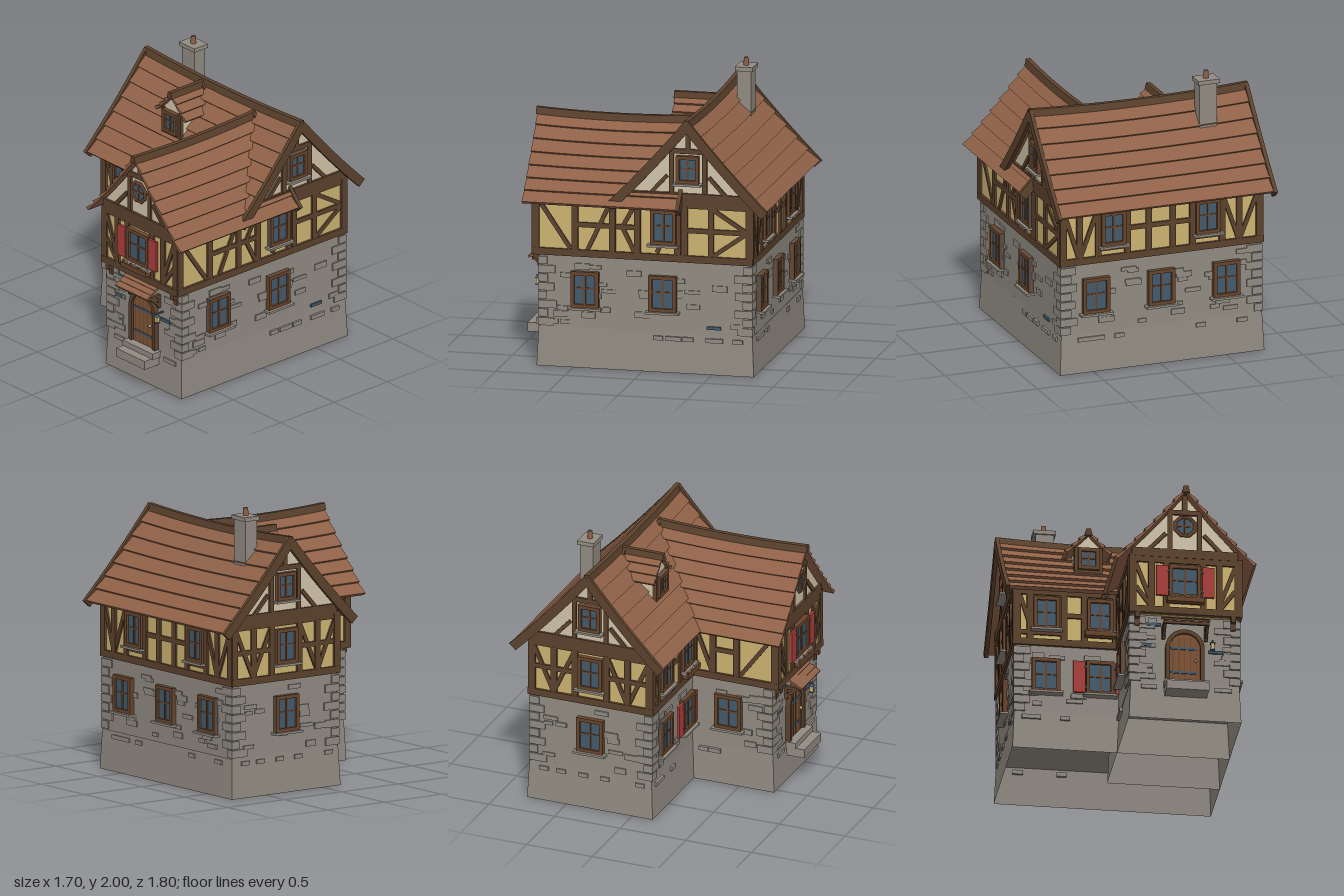
import * as THREE from 'three';

const mat = (name, color, double) => {
  const m = new THREE.MeshStandardMaterial({ color });
  m.name = name;
  if (double) m.side = THREE.DoubleSide;
  return m;
};
const M = {
  stone: mat('stone', 0x918b82, true), plaster: mat('yellow plaster', 0xcdb472), cream: mat('cream plaster', 0xd2c5aa),
  timber: mat('dark timber', 0x5c422d), tile: mat('roof tile', 0x8f6147), wood: mat('door wood', 0x7f5436),
  frame: mat('window frame', 0x69452b), glass: mat('glass and iron', 0x435a6c), red: mat('red paint', 0xaa3e3c),
};

let seed = 7;
const rnd = (a, b) => { seed = (seed * 16807) % 2147483647; return a + (b - a) * seed / 2147483647; };

function add(parent, name, geo, m, x = 0, y = 0, z = 0) {
  const mesh = new THREE.Mesh(geo, m);
  mesh.name = name;
  mesh.position.set(x, y, z);
  parent.add(mesh);
  return mesh;
}
const box = (p, name, m, w, h, d, x, y, z) => add(p, name, new THREE.BoxGeometry(w, h, d), m, x, y, z);
// box given by its limits
const span = (p, name, m, x0, x1, y0, y1, z0, z1) =>
  box(p, name, m, x1 - x0, y1 - y0, z1 - z0, (x0 + x1) / 2, (y0 + y1) / 2, (z0 + z1) / 2);

export function createModel() {
  const house = new THREE.Group();
  house.name = 'timberHouse';

  // Wall planes: local x runs along the wall, y up, z outwards
  const face = (name, turn, x, z) => {
    const g = new THREE.Group();
    g.name = name; g.rotation.y = turn; g.position.set(x, 0, z);
    house.add(g);
    return g;
  };
  const H = Math.PI / 2;
  const front = face('frontWall', 0, 0, 0.14), wingLow = face('wingStoneFront', 0, 0, 0.745);
  const wingUp = face('wingTimberFront', 0, 0, 0.785), right = face('leftHandWall', H, 0.735, 0);
  const back = face('backWall', Math.PI, 0, -0.78), left = face('rightHandWall', -H, -0.765, 0);
  const wingSide = face('wingSideWall', -H, -0.035, 0);

  // Solid walls
  span(house, 'mainStoneWall', M.stone, -0.765, 0.735, 0.28, 0.8, -0.78, 0.14);
  span(house, 'wingStoneWall', M.stone, -0.035, 0.735, 0.28, 0.8, 0, 0.745);
  span(house, 'mainPlasterWall', M.plaster, -0.765, 0.735, 0.8, 1.24, -0.78, 0.14);
  span(house, 'wingPlasterWall', M.plaster, -0.035, 0.735, 0.8, 1.24, 0, 0.785);

  // Open-bottomed battered plinths
  for (const [x0, x1, z0, z1] of [[-0.785, 0.75, -0.8, 0.155], [-0.045, 0.75, -0.35, 0.765]]) {
    const w = x1 - x0, d = z1 - z0, r = Math.SQRT1_2;
    let g = new THREE.CylinderGeometry(r, r, 0.285, 4, 1, true).rotateY(Math.PI / 4).toNonIndexed();
    const p = g.attributes.position;
    for (let i = 0; i < p.count; i++) {
      const k = p.getY(i) > 0 ? 0.026 : 0;
      p.setX(i, p.getX(i) * (w - k)); p.setZ(i, p.getZ(i) * (d - k));
    }
    g.computeVertexNormals();
    add(house, 'plinth', g, M.stone, (x0 + x1) / 2, 0.1425, (z0 + z1) / 2);
  }

  // Corner quoins, alternating long and short
  for (const [cx, cz, dx, dz] of [[-0.765, -0.78, 1, 1], [0.735, -0.78, -1, 1], [-0.765, 0.14, 1, -1], [0.735, 0.745, -1, -1], [-0.035, 0.745, 1, -1]])
    for (let i = 0; i < 8; i++) {
      const a = (i % 2 ? 0.12 : 0.07) + rnd(-0.01, 0.015), b = (i % 2 ? 0.07 : 0.12) + rnd(-0.01, 0.015);
      box(house, 'quoin', M.stone, a, 0.055, b, cx + dx * (a / 2 - 0.011), 0.318 + i * 0.063, cz + dz * (b / 2 - 0.011));
    }
  // Stray raised stones
  const scatter = (f, x0, x1, n) => {
    for (let i = 0; i < n; i++) {
      const w = rnd(0.06, 0.12);
      box(f, 'raisedStone', M.stone, w, rnd(0.025, 0.045), 0.02, rnd(x0 + w, x1 - w), rnd(0.32, 0.76), 0);
    }
    for (let i = 0; i < n / 3; i++) box(f, 'plinthStone', M.stone, 0.07, 0.03, 0.03, rnd(x0 + 0.08, x1 - 0.08), 0.245, 0.005);
  };
  scatter(front, -0.765, -0.05, 9); scatter(wingLow, -0.035, 0.2, 7); scatter(wingLow, 0.5, 0.735, 5);
  scatter(right, -0.745, 0.78, 24); scatter(back, -0.735, 0.765, 24);
  scatter(left, -0.78, 0.14, 14); scatter(wingSide, 0.14, 0.745, 8);
  for (const [f, x, y, w] of [[wingLow, 0.13, 0.73, 0.1], [wingLow, 0.08, 0.57, 0.07], [wingLow, 0.57, 0.54, 0.1], [right, 0.51, 0.335, 0.1]])
    box(f, 'slateStone', M.glass, w, 0.022, 0.026, x, y, 0);

  // Timber beam between two points of a wall
  const beam = (f, x0, y0, x1, y1, w = 0.04, m = M.timber, d = 0.03) => {
    const b = box(f, 'beam', m, Math.hypot(x1 - x0, y1 - y0), w, d, (x0 + x1) / 2, (y0 + y1) / 2, 0);
    b.rotation.z = Math.atan2(y1 - y0, x1 - x0);
  };
  const framing = (f, x0, x1, posts, braces, rails) => {
    beam(f, x0 - 0.014, 0.825, x1 + 0.014, 0.825, 0.05, M.timber, 0.036);
    beam(f, x0, 1.215, x1, 1.215, 0.05);
    posts.forEach(x => beam(f, x, 0.84, x, 1.2, 0.045, M.timber, 0.032));
    beam(f, x0 + 0.012, 0.8, x0 + 0.012, 1.24, 0.052, M.timber, 0.034);
    beam(f, x1 - 0.012, 0.8, x1 - 0.012, 1.24, 0.052, M.timber, 0.034);
    braces.forEach(b => beam(f, ...b, 0.03, M.timber, 0.026));
    rails.forEach(([a, b, y]) => beam(f, a, y, b, y, 0.035, M.timber, 0.028));
  };
  framing(front, -0.765, -0.035, [-0.66, -0.42, -0.275, -0.055], [[-0.73, 1.18, -0.66, 0.96]],
    [[-0.42, -0.275, 1.04], [-0.74, -0.42, 0.9], [-0.275, -0.05, 0.9]]);
  framing(wingUp, -0.035, 0.735, [0.11, 0.215, 0.475, 0.59],
    [[0, 1.18, 0.11, 0.88], [0.7, 1.18, 0.59, 0.88], [0, 1, 0.1, 0.86], [0.7, 1, 0.6, 0.86]], [[0.22, 0.47, 0.9]]);
  framing(right, -0.785, 0.78, [-0.49, -0.22, -0.04, 0.25, 0.3],
    [[-0.75, 1.19, -0.52, 0.85], [-0.4, 0.85, -0.24, 1.19], [-0.06, 1.19, -0.15, 1.03], [-0.06, 0.85, -0.15, 1.03],
      [0.1, 0.86, 0.26, 1.18], [0.5, 1.19, 0.74, 1.04], [0.5, 0.85, 0.74, 1.02]], [[-0.49, -0.04, 1.03], [0.3, 0.75, 1.03]]);
  beam(right, 0.49, 0.84, 0.49, 1.2);
  framing(back, -0.735, 0.765, [-0.6, -0.46, -0.24, -0.08, 0.1, 0.25, 0.47, 0.6],
    [[-0.71, 1.18, -0.61, 0.86], [0.74, 1.18, 0.61, 0.86], [-0.59, 0.86, -0.47, 1.18], [0.59, 0.86, 0.48, 1.18]],
    [[-0.24, 0.25, 1.03], [-0.46, -0.24, 0.9], [0.25, 0.47, 0.9]]);
  framing(left, -0.78, 0.14, [-0.6, -0.44, -0.2, -0.04],
    [[-0.75, 1.18, -0.61, 0.86], [0.11, 1.18, -0.03, 0.86], [-0.6, 0.86, -0.45, 1.18], [-0.05, 0.86, -0.19, 1.18]],
    [[-0.75, -0.44, 1.03], [-0.2, 0.11, 1.03]]);
  framing(wingSide, 0.14, 0.785, [0.3, 0.48], [[0.75, 1.19, 0.5, 0.85], [0.16, 1.19, 0.29, 0.86]], [[0.3, 0.48, 1.03]]);

  // Windows with frame, glazing bars, sill and optional shutters or flower box
  const windowAt = (f, x, y, w, h, { sill = true, shutters = 0, flowers = false } = {}) => {
    const g = new THREE.Group();
    g.name = 'window'; g.position.set(x, y, 0.016);
    f.add(g);
    box(g, 'glass', M.glass, w, h, 0.008, 0, 0, 0);
    for (const s of [-1, 1]) {
      box(g, 'jamb', M.frame, 0.026, h, 0.04, s * (w / 2 - 0.013), 0, 0);
      box(g, 'rail', M.frame, w, 0.026, 0.04, 0, s * (h / 2 - 0.013), 0);
      if (shutters) {
        box(g, 'shutter', M.red, shutters, h - 0.02, 0.018, s * (w / 2 + shutters / 2 + 0.008), 0, 0.012);
        for (const v of [-1, 1]) box(g, 'hinge', M.glass, 0.02, 0.012, 0.024, s * (w / 2 + 0.008), v * h * 0.3, 0.012);
      }
    }
    box(g, 'mullion', M.frame, 0.014, h, 0.022, 0, 0, 0);
    box(g, 'glazingBar', M.frame, w, 0.011, 0.02, 0, h * 0.04, 0);
    if (sill) box(g, 'sill', M.stone, w + 0.04, 0.016, 0.06, 0, -h / 2 - 0.006, 0.012);
    if (flowers) {
      box(g, 'flowerBox', M.frame, w + 0.04, 0.035, 0.045, 0, -h / 2 - 0.028, 0.032);
      for (let i = 0; i < 10; i++)
        add(g, 'flower', new THREE.IcosahedronGeometry(0.011, 0), [M.red, M.plaster, M.cream][i % 3],
          (i / 9 - 0.5) * w, -h / 2 - 0.006 + rnd(-0.004, 0.006), 0.035 + rnd(-0.01, 0.012));
    }
  };
  const low = (f, x, o) => windowAt(f, x, 0.565, 0.2, 0.26, o), high = (f, x, o) => windowAt(f, x, 1.045, 0.185, 0.25, o);
  low(front, -0.55); low(front, -0.165, { shutters: 0.085 });
  high(front, -0.545); high(front, -0.165, { flowers: true });
  windowAt(wingUp, 0.345, 1.045, 0.225, 0.25, { shutters: 0.085, flowers: true });
  low(right, -0.415); low(right, 0.145); high(right, 0.15);
  [-0.48, 0.01, 0.5].forEach(x => low(back, x));
  [-0.35, 0.36].forEach(x => high(back, x));
  low(left, -0.32); high(left, -0.32); low(wingSide, 0.42);

  // Sagging, flared roof: length on local x, ridge at the origin, one slope built and turned round
  const drop = (t, rise) => rise * (t + 0.1 * t * (1 - t));
  const makeRoof = (name, len, half, rise, sag, courses, ends, deep) => {
    const roof = new THREE.Group();
    roof.name = name;
    house.add(roof);
    const n = Math.hypot(half, rise);
    const slab = (s0, s1, t0, t1, w0, wTop, wLow, nt) => {
      const g = new THREE.BoxGeometry(1, 1, 1, 10, 1, nt), p = g.attributes.position;
      for (let i = 0; i < p.count; i++) {
        const s = s0 + (p.getX(i) + 0.5) * (s1 - s0), v = p.getZ(i) + 0.5, t = t0 + v * (t1 - t0);
        const w = p.getY(i) < 0 ? w0 : wTop + (wLow - wTop) * v;
        p.setXYZ(i, s * len / 2, -drop(t, rise) - sag * (1 - s * s) * (1 - t) + w * half / n, half * t + w * rise / n);
      }
      g.computeVertexNormals();
      return g;
    };
    const e = 0.028 / len;
    for (const turn of [0, Math.PI]) {
      const slope = new THREE.Group();
      slope.name = 'slope'; slope.rotation.y = turn;
      roof.add(slope);
      for (let i = 0; i < courses; i++)
        add(slope, 'tileCourse', slab(-1, 1, i / courses - (i ? 0.01 : 0), (i + 1) / courses, 0, 0.008, 0.028, 2), M.tile);
      for (const end of ends) {
        const s = turn ? -end : end;
        add(slope, 'vergeBoard', slab(s - e, s + e, -0.01, 1.015, -deep, 0.032, 0.032, 8), M.timber);
      }
    }
    const cap = new THREE.BoxGeometry(len + 0.02, 0.05, 0.055, 12, 1, 1), p = cap.attributes.position;
    for (let i = 0; i < p.count; i++) {
      const s = p.getX(i) / len * 2;
      if (p.getY(i) > 0) p.setZ(i, p.getZ(i) * 0.6);
      p.setY(i, p.getY(i) + 0.012 - sag * (1 - s * s));
    }
    cap.computeVertexNormals();
    add(roof, 'ridgeCap', cap, M.timber);
    return roof;
  };
  makeRoof('mainRoof', 1.62, 0.555, 0.61, 0.025, 7, [-1, 1], 0.035).position.set(-0.02, 1.795, -0.325);
  const wingRoof = makeRoof('wingRoof', 1.12, 0.48, 0.55, 0.018, 7, [-1], 0.035);
  wingRoof.position.set(0.345, 1.73, 0.29);
  wingRoof.rotation.y = H;
  wingRoof.children[0].parent.scale.x = -1; // puts the boarded end at the front

  // Gable panels following the roof underside
  const gable = (f, cx, ridge, half, rise, base, wide) => {
    const s = new THREE.Shape();
    const y = o => ridge - drop(o / half, rise) - 0.012;
    s.moveTo(cx - wide, base); s.lineTo(cx + wide, base);
    for (const o of [1, 0.5, 0, -0.5, -1]) s.lineTo(cx + wide * o, Math.max(base, y(Math.abs(wide * o))));
    add(f, 'gablePanel', new THREE.ExtrudeGeometry(s, { depth: 0.04, bevelEnabled: false }), M.cream, 0, 0, -0.04);
  };
  const gableFrame = (f, cx, wide, gap, top) => {
    beam(f, cx - wide, 1.265, cx + wide, 1.265, 0.065, M.timber, 0.036);
    beam(f, cx - gap - 0.02, top, cx + gap + 0.02, top, 0.035);
    beam(f, cx, top, cx, top + 0.13, 0.035);
    for (const s of [-1, 1]) {
      beam(f, cx + s * gap, 1.28, cx + s * gap, top, 0.034);
      beam(f, cx + s * (gap + 0.15), 1.29, cx + s * (gap + 0.03), 1.42, 0.028);
    }
  };
  for (const [f, c] of [[right, 0.325], [left, -0.325]]) {
    gable(f, c, 1.795, 0.555, 0.61, 1.24, 0.455);
    gableFrame(f, c, 0.45, 0.12, 1.6);
    windowAt(f, c, 1.47, 0.165, 0.2);
  }
  gable(wingUp, 0.345, 1.73, 0.48, 0.55, 1.24, 0.38);
  gableFrame(wingUp, 0.345, 0.375, 0.105, 1.585);

  // Eight-sided gable window
  const ring = new THREE.TorusGeometry(0.074, 0.015, 4, 8).rotateZ(Math.PI / 8);
  add(wingUp, 'roundWindowFrame', ring, M.frame, 0.345, 1.475, 0.02);
  add(wingUp, 'roundWindowGlass', new THREE.CylinderGeometry(0.074, 0.074, 0.008, 8).rotateX(H).rotateZ(Math.PI / 8), M.glass, 0.345, 1.475, 0.018);
  beam(wingUp, 0.345, 1.405, 0.345, 1.545, 0.012, M.frame, 0.054);
  beam(wingUp, 0.275, 1.475, 0.415, 1.475, 0.012, M.frame, 0.054);

  // Dormer
  const dormer = face('dormer', 0, -0.225, -0.025);
  span(dormer, 'dormerBody', M.cream, -0.095, 0.095, 1.43, 1.65, -0.25, 0);
  gable(dormer, 0, 1.757, 0.155, 0.155, 1.6, 0.1);
  for (const s of [-1, 1]) beam(dormer, s * 0.088, 1.45, s * 0.088, 1.65, 0.025);
  beam(dormer, -0.1, 1.465, 0.1, 1.465, 0.025);
  windowAt(dormer, 0, 1.56, 0.15, 0.165, { sill: false });
  const dormerRoof = makeRoof('dormerRoof', 0.29, 0.15, 0.15, 0, 3, [-1], 0.02);
  dormerRoof.position.set(-0.225, 1.757, -0.15);
  dormerRoof.rotation.y = H;
  dormerRoof.scale.x = -1;

  // Chimney
  span(house, 'chimneyStack', M.stone, -0.545, -0.415, 1.45, 1.92, -0.5, -0.4);
  span(house, 'chimneyCap', M.stone, -0.562, -0.402, 1.915, 1.945, -0.515, -0.388);
  add(house, 'chimneyPot', new THREE.CylinderGeometry(0.017, 0.021, 0.06, 8), M.tile, -0.482, 1.97, -0.45);
  add(house, 'potOpening', new THREE.CylinderGeometry(0.011, 0.011, 0.004, 8), M.glass, -0.482, 1.9985, -0.45);

  // Arched door
  const arch = (r, bottom) => {
    const s = new THREE.Shape();
    s.moveTo(-r, bottom); s.lineTo(r, bottom); s.lineTo(r, 0.555);
    s.absarc(0, 0.555, r, 0, Math.PI, false);
    s.closePath();
    return s;
  };
  const extrude = (s, depth) => new THREE.ExtrudeGeometry(s, { depth, bevelEnabled: false, curveSegments: 12 });
  const surround = arch(0.137, 0.28);
  surround.holes.push(arch(0.108, 0.281));
  add(wingLow, 'doorSurround', extrude(surround, 0.04), M.timber, 0.35, 0, -0.005);
  add(wingLow, 'doorLeaf', extrude(arch(0.112, 0.28), 0.02), M.wood, 0.35, 0, -0.003);
  for (let i = -2; i <= 2; i++) span(wingLow, 'plankJoint', M.timber, 0.348 + i * 0.042, 0.352 + i * 0.042, 0.285, 0.63, 0.01, 0.019);
  for (const y of [0.365, 0.55]) span(wingLow, 'doorHinge', M.glass, 0.25, 0.44, y - 0.009, y + 0.009, 0.01, 0.023);
  add(wingLow, 'doorKnob', new THREE.SphereGeometry(0.011, 8, 6), M.plaster, 0.425, 0.455, 0.026);

  // Doorsteps
  span(house, 'upperStep', M.stone, 0.2, 0.515, 0.24, 0.285, 0.73, 0.825);
  span(house, 'lowerStep', M.stone, 0.205, 0.505, 0.18, 0.245, 0.73, 0.89);

  // Door canopy with braces, and corbels under the overhang
  for (let i = 0; i < 3; i++) {
    const b = box(house, 'canopyBoard', M.tile, 0.33, 0.014, 0.055, 0.35, 0.775 - i * 0.022, 0.775 + i * 0.04);
    b.rotation.x = 0.4;
  }
  span(house, 'canopyRail', M.timber, 0.19, 0.51, 0.7, 0.72, 0.835, 0.855);
  for (const x of [0.2, 0.5]) {
    span(house, 'canopyArm', M.timber, x - 0.012, x + 0.012, 0.7, 0.722, 0.745, 0.85);
    const b = box(house, 'canopyBrace', M.timber, 0.022, 0.02, 0.12, x, 0.67, 0.79);
    b.rotation.x = -0.75;
    span(house, 'canopyPost', M.timber, x - 0.012, x + 0.012, 0.62, 0.72, 0.74, 0.765);
  }
  for (const x of [0.01, 0.69]) {
    span(house, 'corbel', M.timber, x - 0.017, x + 0.017, 0.71, 0.8, 0.74, 0.768);
    span(house, 'corbel', M.timber, x - 0.017, x + 0.017, 0.76, 0.8, 0.74, 0.8);
  }

  // Lantern
  span(house, 'lanternArm', M.glass, 0.535, 0.545, 0.595, 0.605, 0.745, 0.815);
  box(house, 'lanternLight', M.plaster, 0.024, 0.045, 0.024, 0.54, 0.56, 0.805);
  add(house, 'lanternCap', new THREE.ConeGeometry(0.027, 0.02, 4).rotateY(Math.PI / 4), M.glass, 0.54, 0.592, 0.805);
  box(house, 'lanternBase', M.glass, 0.032, 0.008, 0.032, 0.54, 0.535, 0.805);
  return house;
}
